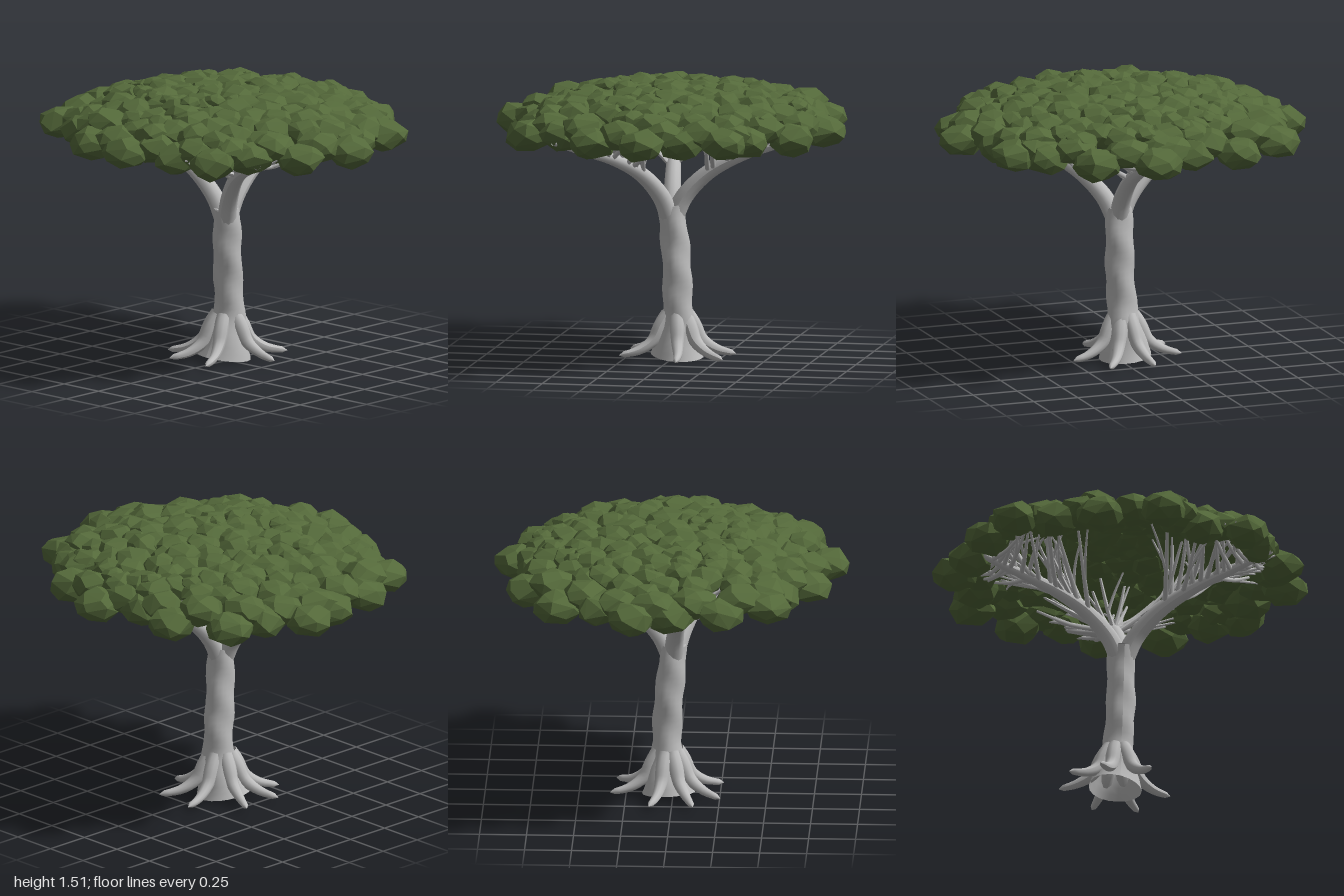
import * as THREE from 'three';
import { mergeGeometries } from 'three/addons/utils/BufferGeometryUtils.js';
import { ConvexGeometry } from 'three/addons/geometries/ConvexGeometry.js';

let seed = 7;
const rand = () => {
  seed = (seed * 16807) % 2147483647;
  return seed / 2147483647;
};
const jitter = (a) => (rand() * 2 - 1) * a;
const V = (x, y, z) => new THREE.Vector3(x, y, z);

// Tube along a curve whose radius follows radiusAt(t, angle)
function taperedTube(curve, segments, sides, radiusAt) {
  const geo = new THREE.TubeGeometry(curve, segments, 1, sides);
  const pos = geo.attributes.position;
  const p = V(), centre = V();
  for (let i = 0; i < pos.count; i++) {
    const ring = Math.floor(i / (sides + 1));
    const side = i % (sides + 1) % sides;
    const t = ring / segments;
    curve.getPointAt(t, centre);
    p.fromBufferAttribute(pos, i).sub(centre);
    p.multiplyScalar(radiusAt(t, (side / sides) * Math.PI * 2)).add(centre);
    pos.setXYZ(i, p.x, p.y, p.z);
  }
  geo.computeVertexNormals();
  return geo;
}

// Squashed faceted leaf clump: hull of evenly spread, jittered points
function leafClump(x, y, z, rx, ry) {
  const points = [];
  const n = 24, turn = rand() * 6.28;
  for (let i = 0; i < n; i++) {
    const h = 1 - (2 * (i + 0.5)) / n;
    const a = i * 2.39996 + turn + jitter(0.3);
    const r = Math.sqrt(1 - h * h);
    const k = 1 + jitter(0.08);
    points.push(V(x + Math.cos(a) * r * rx * k, y + h * ry * k, z + Math.sin(a) * r * rx * k));
  }
  return new ConvexGeometry(points);
}

// Height of the crown's middle: nearly flat, dropping at the edge
const canopyHeight = (r) => 1.405 - 0.1 * (r / 0.78) ** 2.5;

export function createModel() {
  seed = 7;
  const bark = new THREE.MeshStandardMaterial({ color: 0xbcbcbc, side: THREE.DoubleSide });
  bark.name = 'greyBark';
  const leaf = new THREE.MeshStandardMaterial({ color: 0x54693a, flatShading: true });
  leaf.name = 'leafGreen';

  const model = new THREE.Group();
  model.name = 'flatToppedTree';
  const add = (name, geo, mat) => {
    const mesh = new THREE.Mesh(geo, mat);
    mesh.name = name;
    model.add(mesh);
    return mesh;
  };

  // Trunk: gently bent and uneven, flared at the foot
  const trunkCurve = new THREE.CatmullRomCurve3([
    V(-0.045, 0.008, -0.022), V(-0.025, 0.2, -0.035), V(-0.016, 0.45, -0.025),
    V(-0.014, 0.65, -0.014), V(-0.011, 0.82, 0),
  ]);
  add('trunk', taperedTube(trunkCurve, 24, 18, (t, a) => {
    const flare = 0.065 * Math.max(0, 1 - t / 0.35) ** 1.5;
    const bumps = 0.004 * Math.sin(3 * a + 9 * t) + 0.004 * Math.sin(2 * a - 23 * t);
    return 0.078 - 0.008 * t ** 4 + flare + bumps;
  }), bark);
  const top = add('trunkTop', new THREE.CircleGeometry(0.069, 18), bark);
  top.position.set(-0.011, 0.82, 0);
  top.rotation.x = -Math.PI / 2;

  // Buttress roots around the foot
  const roots = [-12, -60, -105, 195, 152, 116, 65].map((degrees) => {
    const a = degrees * Math.PI / 180;
    const at = (r, y, swing = 0) =>
      V(-0.03 + Math.cos(a + swing) * r, y, -0.026 + Math.sin(a + swing) * r);
    const curve = new THREE.CatmullRomCurve3([
      at(0.05, 0.235), at(0.085, 0.18), at(0.13, 0.095), at(0.21, 0.042), at(0.32 + jitter(0.015), 0.016, 0.04),
    ]);
    return taperedTube(curve, 14, 10, (t) =>
      t > 0.99 ? 0.001 : 0.014 + 0.036 * (1 - t) * Math.min(1, 0.7 + t));
  });
  add('roots', mergeGeometries(roots), bark);

  // Three spreading limbs, each carrying fans of forked twigs
  const limbs = [], twigs = [];
  const tips = [[-0.8, 0.12], [0.7, 0.5], [0.03, -0.8]];
  for (const [tx, tz] of tips) {
    const at = (k, y) => V(-0.01 + tx * k, y, tz * k);
    const limb = new THREE.CatmullRomCurve3([
      at(0.02, 0.76), at(0.09, 0.87), at(0.25, 1.0), at(0.48, 1.1), at(0.78, 1.18), at(1, 1.24),
    ]);
    limbs.push(taperedTube(limb, 24, 12, (t) => 0.052 - 0.034 * t));

    const length = Math.hypot(tx, tz);
    const ox = tx / length, oz = tz / length;
    const twigCount = 36;
    for (let i = 0; i < twigCount; i++) {
      const side = i % 2 ? 1 : -1;
      const start = limb.getPointAt(0.3 + (0.66 * i) / twigCount);
      const spread = side * (0.05 + 0.36 * rand());
      const out = 0.02 + 0.22 * rand();
      const end = V(start.x + ox * out - oz * spread, 0, start.z + oz * out + ox * spread);
      const r = Math.hypot(end.x, end.z);
      if (r > 0.76) end.multiplyScalar(0.76 / r);
      end.y = canopyHeight(Math.min(r, 0.76)) - 0.06;
      const mid = start.clone().lerp(end, 0.5);
      mid.y += jitter(0.02) - 0.01;
      const curve = new THREE.CatmullRomCurve3([start, mid, end]);
      twigs.push(taperedTube(curve, 6, 6, (t) => 0.015 - 0.008 * t));
      // Side fork
      const forkEnd = end.clone().add(V(jitter(0.12), 0.01, jitter(0.12)));
      const fork = new THREE.CatmullRomCurve3([
        curve.getPointAt(0.4), mid.clone().lerp(forkEnd, 0.4), forkEnd,
      ]);
      twigs.push(taperedTube(fork, 5, 5, (t) => 0.01 - 0.005 * t));
    }
  }
  add('limbs', mergeGeometries(limbs), bark);
  add('twigs', mergeGeometries(twigs), bark);

  // Canopy rim: large clumps around the uneven outline, backed by a second row
  const rim = [
    [0.07, -0.83], [0.38, -0.73], [0.58, -0.52], [0.74, -0.43], [0.73, -0.2], [0.88, -0.01],
    [0.79, 0.27], [0.6, 0.47], [0.52, 0.67], [0.27, 0.68], [0.03, 0.82], [-0.29, 0.73],
    [-0.5, 0.57], [-0.71, 0.53], [-0.81, 0.28], [-0.83, 0.02], [-0.88, -0.19], [-0.72, -0.37],
    [-0.69, -0.59], [-0.41, -0.75], [-0.16, -0.71],
  ];
  const clumps = [];
  rim.forEach(([x, z], i) => {
    const [nx, nz] = rim[(i + 1) % rim.length];
    clumps.push(leafClump(x, 1.258 + jitter(0.012), z, 0.128, 0.09));
    clumps.push(leafClump((x + nx) * 0.465, 1.3 + jitter(0.015), (z + nz) * 0.465, 0.128, 0.085));
  });

  // Canopy crown: overlapping clumps in an even spiral, with small tufts on top
  const crownCount = 95;
  for (let i = 0; i < crownCount; i++) {
    const r = 0.72 * Math.sqrt((i + 0.5) / crownCount);
    const a = i * 2.39996;
    const x = Math.cos(a) * r + jitter(0.025), z = Math.sin(a) * r + jitter(0.025);
    const y = canopyHeight(r) + jitter(0.015);
    clumps.push(leafClump(x, y, z, 0.112 + jitter(0.012), 0.075));
    if (i % 8 === 3) clumps.push(leafClump(x + 0.05, y + 0.045, z, 0.065, 0.045));
  }
  add('canopy', mergeGeometries(clumps), leaf);

  return model;
}
